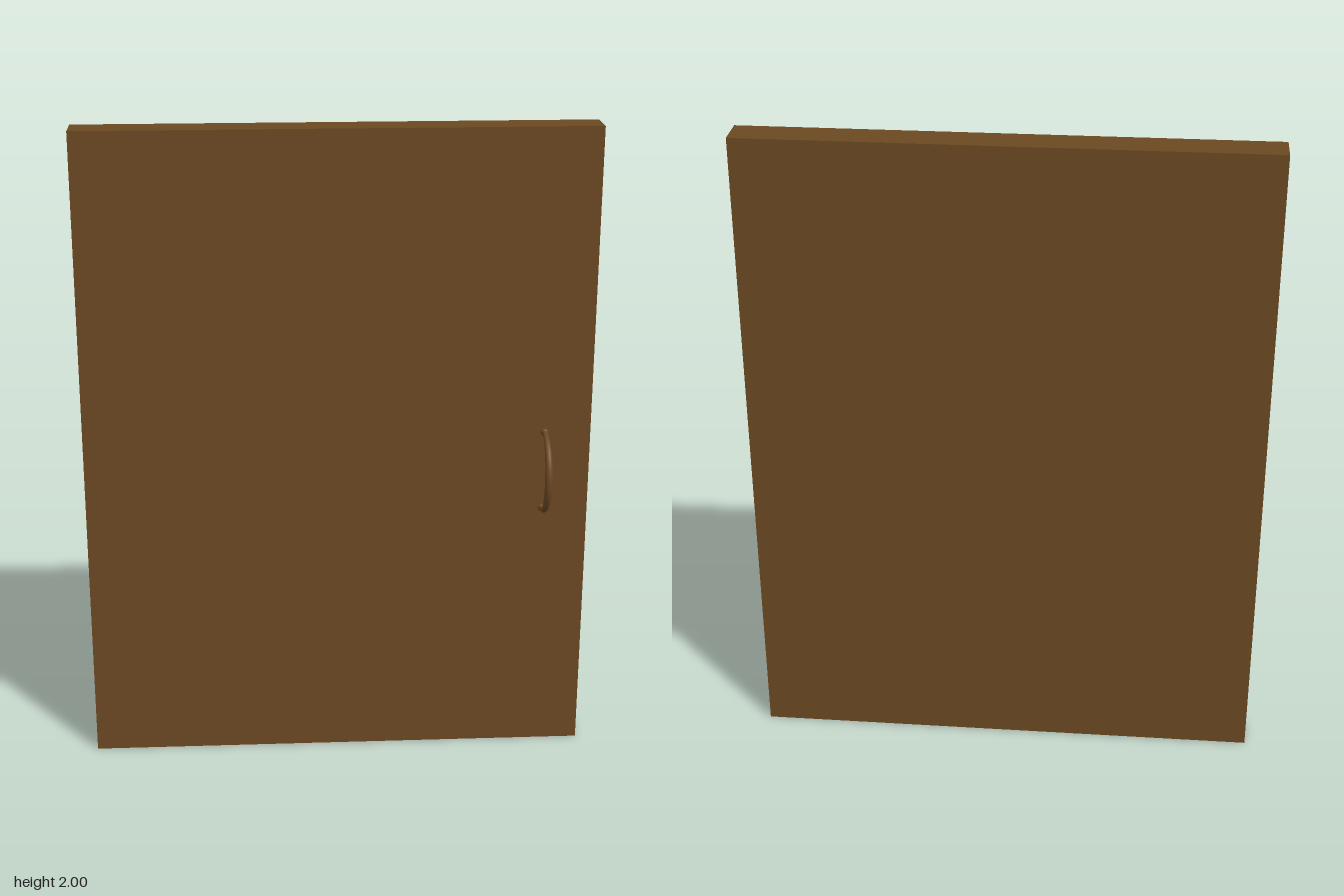
import * as THREE from 'three';

const FRONT = -0.009; // z of the panel's front face
const BACK = -0.116;

// Curved pull: a half ellipse swept by a round section that thins towards its ends
function pullGeometry(halfHeight, depth, radius) {
  const points = [];
  for (let i = 0; i <= 16; i++) {
    const a = -Math.PI / 2 + (Math.PI * i) / 16;
    points.push(new THREE.Vector3(0, halfHeight * Math.sin(a), depth * Math.cos(a)));
  }
  const curve = new THREE.CatmullRomCurve3(points);
  const segments = 40, sides = 14;
  const geometry = new THREE.TubeGeometry(curve, segments, radius, sides, false);
  const pos = geometry.attributes.position;
  const v = new THREE.Vector3();
  for (let i = 0; i <= segments; i++) {
    const centre = curve.getPointAt(i / segments);
    const taper = 0.6 + 0.4 * Math.sin((Math.PI * i) / segments);
    for (let j = 0; j <= sides; j++) {
      const k = i * (sides + 1) + j;
      v.fromBufferAttribute(pos, k).sub(centre).multiplyScalar(taper).add(centre);
      pos.setXYZ(k, v.x, v.y, v.z);
    }
  }
  geometry.computeVertexNormals();
  return geometry;
}

export function createModel() {
  const model = new THREE.Group();
  model.name = 'cabinetDoor';

  const wood = new THREE.MeshStandardMaterial({ color: 0x6b4822 });
  wood.name = 'brown wood';

  // Plain slab
  const panel = new THREE.Mesh(new THREE.BoxGeometry(1.556, 2, FRONT - BACK), wood);
  panel.name = 'doorPanel';
  panel.position.set(0, 1, (FRONT + BACK) / 2);
  model.add(panel);

  // Handle with a small foot at each end
  const handle = new THREE.Group();
  handle.name = 'handle';
  handle.position.set(0.636, 0.935, FRONT);
  const pull = new THREE.Mesh(pullGeometry(0.125, 0.113, 0.012), wood);
  pull.name = 'handlePull';
  handle.add(pull);
  for (const side of [1, -1]) {
    const foot = new THREE.Mesh(new THREE.SphereGeometry(0.012, 16, 10), wood);
    foot.name = side > 0 ? 'upperHandleFoot' : 'lowerHandleFoot';
    foot.position.set(0, side * 0.125, 0);
    handle.add(foot);
  }
  model.add(handle);

  return model;
}
